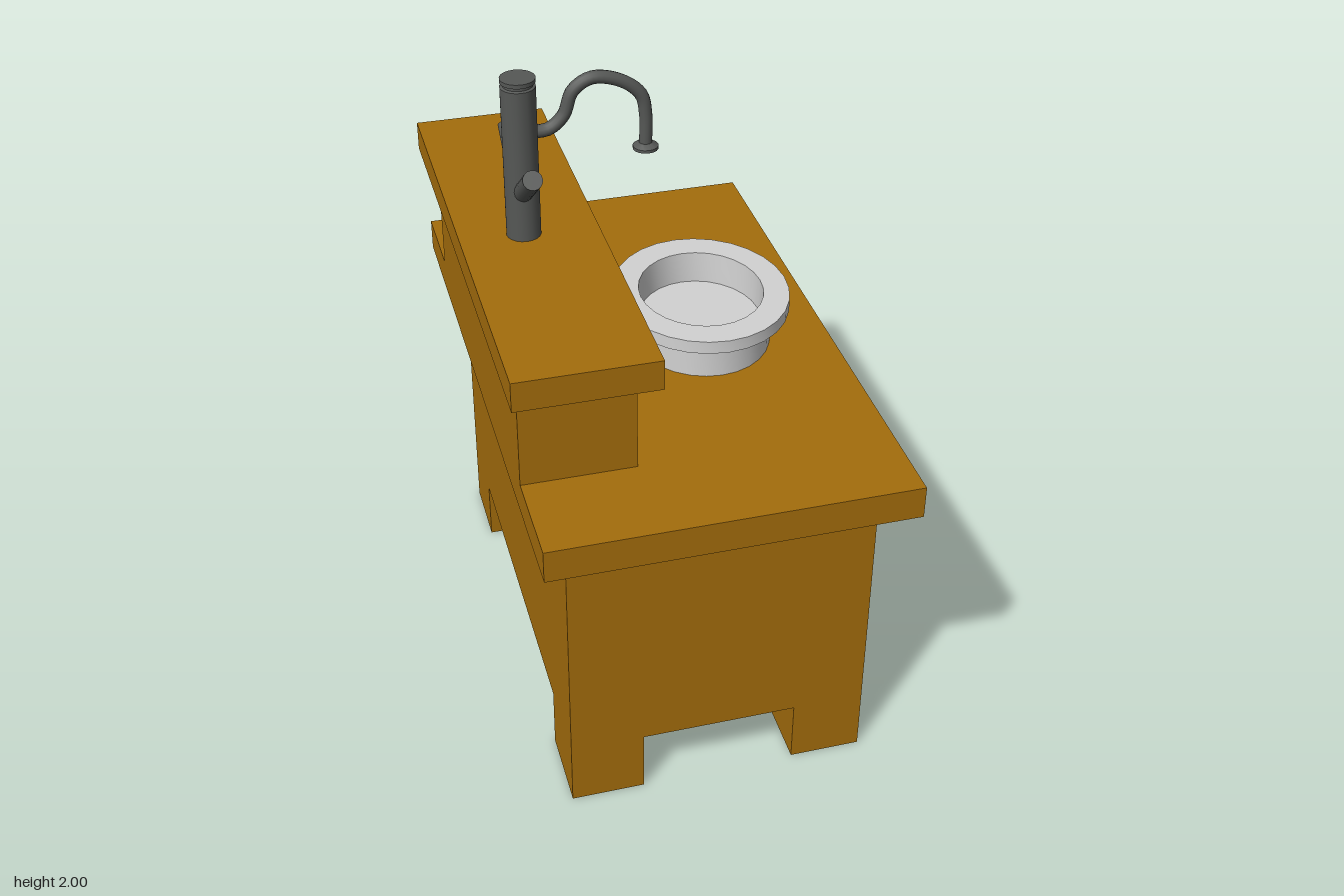
import * as THREE from 'three';
import { toCreasedNormals } from 'three/addons/utils/BufferGeometryUtils.js';

const wood = new THREE.MeshStandardMaterial({ color: 0xa46d0c });
wood.name = 'wood';
const metal = new THREE.MeshStandardMaterial({ color: 0x565856 });
metal.name = 'dark metal';
const ceramic = new THREE.MeshStandardMaterial({ color: 0xd2d2d2 });
ceramic.name = 'ceramic';

export function createModel() {
  const root = new THREE.Group();
  root.name = 'washstand';

  const add = (name, geometry, material, parent = root) => {
    const mesh = new THREE.Mesh(geometry, material);
    mesh.name = name;
    parent.add(mesh);
    return mesh;
  };
  // Box given by its limits on each axis
  const box = (name, x0, x1, y0, y1, z0, z1, material = wood, parent = root) => {
    const g = new THREE.BoxGeometry(x1 - x0, y1 - y0, z1 - z0);
    g.translate((x0 + x1) / 2, (y0 + y1) / 2, (z0 + z1) / 2);
    return add(name, g, material, parent);
  };
  const lathe = (points, segments) =>
    new THREE.LatheGeometry(points.map(([r, y]) => new THREE.Vector2(r, y)), segments);

  // Cabinet with four legs, worktop and raised back shelf
  box('cabinetBody', -0.43, 0.47, 0.2, 0.98, -0.76, 0.76);
  for (const [x0, x1] of [[-0.43, -0.21], [0.255, 0.47]]) {
    box('leg', x0, x1, 0, 0.2, 0.515, 0.76);
    box('leg', x0, x1, 0, 0.2, -0.76, -0.525);
  }
  box('worktop', -0.515, 0.547, 0.98, 1.08, -0.89, 0.893);
  box('backRiser', -0.515, -0.185, 1.08, 1.425, -0.615, 0.6);
  box('backShelf', -0.552, -0.148, 1.425, 1.515, -0.76, 0.738);

  // Doors on the +x side, each with a bevelled raised panel and a knob
  const panel = (y0, y1, z0, z1) => {
    const g = new THREE.BoxGeometry(0.014, y1 - y0, z1 - z0).toNonIndexed();
    const p = g.attributes.position;
    for (let i = 0; i < p.count; i++) {
      if (p.getX(i) < 0) continue;
      p.setY(i, p.getY(i) - Math.sign(p.getY(i)) * 0.062);
      p.setZ(i, p.getZ(i) - Math.sign(p.getZ(i)) * 0.045);
    }
    g.computeVertexNormals();
    g.translate(0.497, (y0 + y1) / 2, (z0 + z1) / 2);
    return g;
  };
  const knobGeometry = toCreasedNormals(lathe(
    [[0.018, 0], [0.018, 0.02], [0.04, 0.024], [0.04, 0.034], [0.03, 0.046], [0.018, 0.05], [0, 0.05]], 14), 0.7);
  const doors = [
    { z0: 0, z1: 0.51, p0: 0.09, p1: 0.41, knob: 0.108 },
    { z0: -0.525, z1: 0, p0: -0.41, p1: -0.12, knob: -0.113 },
  ];
  for (const d of doors) {
    const door = new THREE.Group();
    door.name = 'door';
    root.add(door);
    box('doorSlab', 0.47, 0.493, 0.22, 0.895, d.z0, d.z1, wood, door);
    add('doorPanel', panel(0.3, 0.71, d.p0, d.p1), wood, door);
    const knob = add('doorKnob', knobGeometry, metal, door);
    knob.rotation.z = -Math.PI / 2;
    knob.position.set(0.493, 0.805, d.knob);
  }

  // Hinges: two leaves joined by a short pin
  for (const [edge, side] of [[0.52, 1], [-0.535, -1]]) {
    for (const y of [0.7, 0.345]) {
      const hinge = new THREE.Group();
      hinge.name = 'hinge';
      hinge.position.set(0, y, edge);
      hinge.scale.z = 1;
      root.add(hinge);
      const span = (a, b) => (side > 0 ? [a, b] : [-b, -a]);
      box('hingeFrameLeaf', 0.465, 0.525, -0.037, 0.037, ...span(0.002, 0.045), metal, hinge);
      box('hingePin', 0.475, 0.51, -0.02, 0.02, ...span(-0.012, 0.004), metal, hinge);
      box('hingeDoorLeaf', 0.485, 0.525, -0.047, 0.047, ...span(-0.045, -0.01), metal, hinge);
    }
  }

  // Oval basin with a wide rim
  const basin = lathe([[0, 1.08], [0.236, 1.08], [0.236, 1.2], [0.297, 1.2], [0.297, 1.24],
    [0.21, 1.24], [0.205, 1.14], [0, 1.14]], 28);
  basin.scale(0.888, 1, 1);
  basin.translate(0.168, 0, 0);
  add('basin', toCreasedNormals(basin, 0.7), ceramic);

  // Tap: column with a grooved cap, two slanted handles and a curved spout
  const tap = new THREE.Group();
  tap.name = 'tap';
  root.add(tap);
  const column = lathe([[0, 1.51], [0.05, 1.51], [0.05, 1.975], [0.043, 1.978], [0.043, 1.985],
    [0.05, 1.988], [0.05, 2], [0, 2]], 20);
  add('tapColumn', toCreasedNormals(column, 0.7), metal, tap).position.set(-0.365, 0, 0.008);

  for (const side of [1, -1]) {
    const handle = new THREE.Group();
    handle.name = 'tapHandle';
    handle.position.set(-0.367, 1.64, 0.008);
    handle.rotation.x = side * 0.91;
    tap.add(handle);
    const g = new THREE.CylinderGeometry(0.028, 0.028, 0.222, 16);
    g.translate(0, 0.111, 0);
    add('handleBar', g, metal, handle);
  }

  const path = new THREE.CatmullRomCurve3([
    [-0.34, 1.825], [-0.28, 1.828], [-0.237, 1.865], [-0.21, 1.935], [-0.155, 1.968],
    [-0.07, 1.948], [-0.015, 1.9], [-0.002, 1.84], [-0.002, 1.745],
  ].map(([x, y]) => new THREE.Vector3(x, y, -0.006)));
  add('spout', new THREE.TubeGeometry(path, 40, 0.019, 12), metal, tap);
  const nozzle = lathe([[0, 1.732], [0.037, 1.732], [0.037, 1.741], [0.019, 1.752]], 16);
  add('spoutNozzle', toCreasedNormals(nozzle, 0.7), metal, tap).position.set(-0.002, 0, -0.006);

  return root;
}
